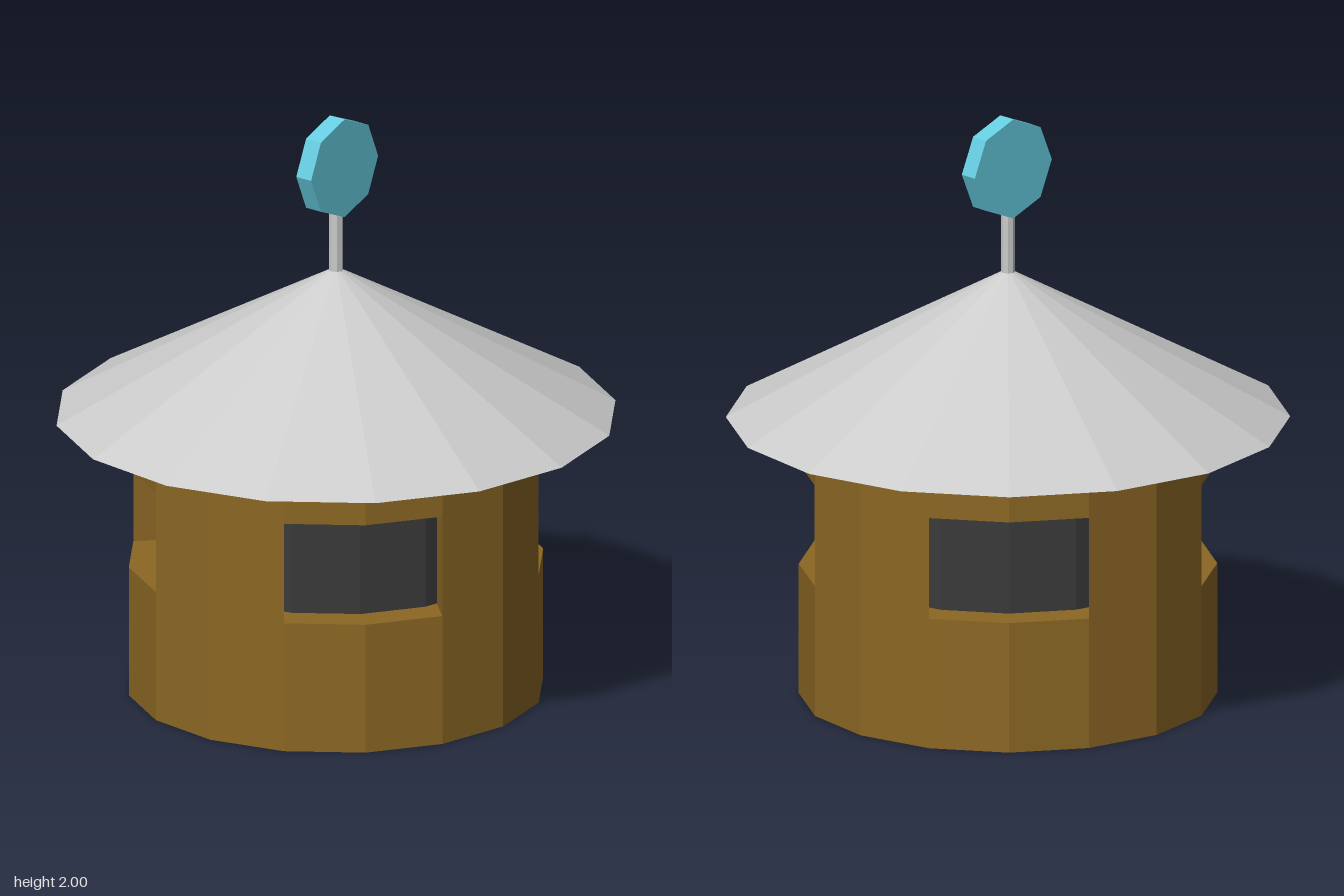
import * as THREE from 'three';

const SIDES = 16;
const R = 0.697;             // outer wall radius
const SILL = 0.45, LINTEL = 0.8, EAVE = 0.96;

const mat = (color) => new THREE.MeshStandardMaterial({ color, flatShading: true });

export function createModel() {
  const model = new THREE.Group();
  model.name = 'kiosk';
  const brown = mat(0x8b6724), dark = mat(0x3a3a3a), grey = mat(0xcccccc), blue = mat(0x66cce0);

  const add = (name, geometry, material, parent = model) => {
    const mesh = new THREE.Mesh(geometry, material);
    mesh.name = name;
    parent.add(mesh);
    return mesh;
  };
  // Upright faceted drum between two heights
  const drum = (name, rTop, rBottom, y0, y1, sides, material) => {
    const mesh = add(name, new THREE.CylinderGeometry(rTop, rBottom, y1 - y0, sides), material);
    mesh.position.y = (y0 + y1) / 2;
    return mesh;
  };

  // Walls below and above the windows, and the dark core behind them
  drum('lowerWall', R, R, 0, SILL, SIDES, brown);
  drum('upperWall', R, R, LINTEL, EAVE + 0.01, SIDES, brown);
  drum('windowPanes', 0.585, 0.585, SILL, LINTEL, SIDES, dark);

  // Four corner pillars with straight jambs, leaving a window on each side
  const s = R * Math.sin(Math.PI / 8), c = R * Math.cos(Math.PI / 8), d = R * Math.SQRT1_2;
  const section = new THREE.Shape([[s, s], [c, s], [d, d], [s, c]].map(([x, y]) => new THREE.Vector2(x, y)));
  const pillarGeometry = new THREE.ExtrudeGeometry(section, { depth: LINTEL - SILL, bevelEnabled: false })
    .rotateX(-Math.PI / 2);
  const pillars = new THREE.Group();
  pillars.name = 'pillars';
  model.add(pillars);
  for (let i = 0; i < 4; i++) {
    const pillar = add('pillar', pillarGeometry, brown, pillars);
    pillar.position.y = SILL;
    pillar.rotation.y = i * Math.PI / 2;
  }

  // Conical roof and pole
  drum('roof', 0.012, 0.94, EAVE, 1.47, SIDES, grey);
  drum('pole', 0.024, 0.024, 1.46, 1.67, 8, grey);

  // Octagonal sign disc, turned towards the front left
  const disc = add('signDisc', new THREE.CylinderGeometry(0.172, 0.172, 0.065, 8).rotateX(Math.PI / 2), blue);
  disc.position.set(0.004, 1.828, 0);
  disc.rotation.y = THREE.MathUtils.degToRad(41.5);

  return model;
}
